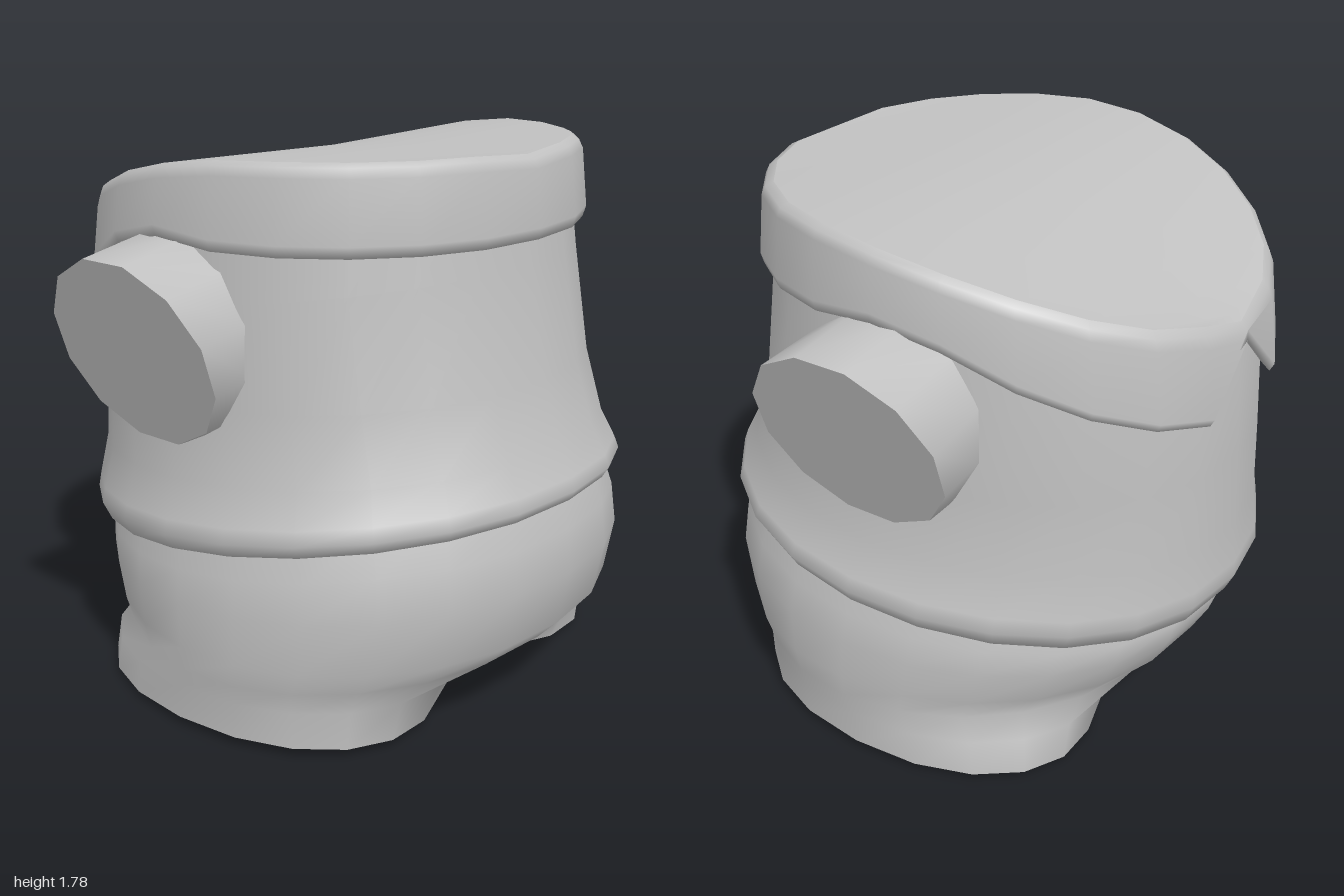
import * as THREE from 'three';
import { mergeGeometries, mergeVertices } from 'three/addons/utils/BufferGeometryUtils.js';

const N = 24; // sides of the body rings
const BACK = N / 2; // index of the back centre

const geo = (points, index) => {
  const g = new THREE.BufferGeometry();
  g.setAttribute('position', new THREE.Float32BufferAttribute(points.flat(), 3));
  g.setIndex(index);
  g.computeVertexNormals();
  return g;
};

// Skin closed rings, listed from the top (or outer end) downwards
function loft(rings) {
  const n = rings[0].length, index = [];
  for (let r = 0; r < rings.length - 1; r++) {
    for (let i = 0; i < n; i++) {
      const j = (i + 1) % n, a = r * n, b = a + n;
      index.push(b + i, b + j, a + j, b + i, a + j, a + i);
    }
  }
  return geo(rings.flat(), index);
}

// Flat fan over a ring
function fan(ring, flip) {
  const index = [];
  for (let i = 1; i < ring.length - 1; i++) index.push(0, ...(flip ? [i + 1, i] : [i, i + 1]));
  return geo(ring, index);
}

// Join pieces into one smooth surface
function weld(pieces) {
  pieces.forEach(p => p.deleteAttribute('normal'));
  const g = mergeVertices(mergeGeometries(pieces), 1e-4);
  g.computeVertexNormals();
  return g;
}

const mirror = ring => ring.map(([x, y, z]) => [-x, y, z]).reverse();
const squared = v => Math.sign(v) * Math.abs(v) ** 0.94;

// Slightly squared oval ring, fuller at the front;
// yAt gives the height from z, the front weight and the index
const oval = (halfWidth, front, back, yAt) => Array.from({ length: N }, (_, i) => {
  const t = i / N * Math.PI * 2, c = Math.cos(t);
  const z = (front + back) / 2 + (front - back) / 2 * c;
  const x = i % BACK ? halfWidth * squared(Math.sin(t)) * (1 + 0.05 * c) : 0;
  return [x, yAt(z, (1 + c) / 2, i), z];
});

// Ring tilted from a front height to a back height
const tilted = ([hw, front, back, yF, yB]) => oval(hw, front, back, (z, w) => yB + (yF - yB) * w);

export function createModel() {
  const group = new THREE.Group();
  const grey = new THREE.MeshStandardMaterial({ color: 0xc0c0c0 });
  grey.name = 'plain grey';
  const add = (name, geometry) => {
    const m = new THREE.Mesh(geometry, grey);
    m.name = name;
    group.add(m);
  };

  // Heights of the collar: a sloping rim, and a lower edge with a notch at the back
  const top = (z, i) => 1.79 - 0.255 * Math.max(0, 0.25 - z) ** 2
    - (i === 0 ? 0.012 : 0) - (i === BACK ? 0.04 : 0);
  const bottom = (z, i) => i === BACK ? 1.39
    : 1.53 + 0.025 * THREE.MathUtils.smoothstep(-z, -0.2, 0.1) - 0.54 * Math.max(0, -z - 0.2);

  // Shirt running up inside the collar, with a flared, tucked hem
  add('shirt', loft([
    oval(0.74, 0.675, -0.825, (z, w, i) => top(z, i) - 0.06),
    ...[
      [0.78, 0.71, -0.855, 1.45, 1.24],
      [0.785, 0.775, -0.87, 1.1, 1.0],
      [0.81, 0.84, -0.88, 0.9, 0.74],
      [0.86, 0.885, -0.895, 0.81, 0.6],
      [0.875, 0.9, -0.9, 0.77, 0.55],
      [0.85, 0.88, -0.87, 0.735, 0.485],
      [0.8, 0.83, -0.8, 0.745, 0.505],
    ].map(tilted),
  ]));

  // Collar with two points at the back
  const collarRing = (hw, front, back, yAt) => {
    const ring = oval(hw, front, back, yAt);
    ring[BACK][2] = Math.max(back, -0.865); // the notch lies close to the shirt
    return ring;
  };
  const rim = collarRing(0.745, 0.68, -0.84, top);
  rim.forEach((p, i) => { p[1] = top(p[2], i); });
  add('collar', loft([
    rim,
    collarRing(0.77, 0.705, -0.86, (z, w, i) => top(z, i) - 0.012),
    collarRing(0.78, 0.72, -0.875, (z, w, i) => top(z, i) - 0.04),
    collarRing(0.8, 0.74, -0.905, (z, w, i) => bottom(z, i) + 0.035),
    collarRing(0.79, 0.73, -0.89, (z, w, i) => bottom(z, i)),
    collarRing(0.745, 0.69, -0.835, (z, w, i) => bottom(z, i) + 0.025),
  ]));

  // Neck surface: rows from side to side, with a valley deepening to the back notch
  const valley = rim.slice(1, BACK).map(([, y, z]) => [0, y - 0.012 - 0.025 * ((0.68 - z) / 1.52) ** 2, z]);
  const spine = i => i === 0 ? 0 : i === BACK ? BACK : N + i - 1;
  const capIndex = [];
  for (let i = 0; i < BACK; i++) {
    const l = (N - i) % N, l2 = N - i - 1, m = spine(i), m2 = spine(i + 1);
    if (i < BACK - 1) capIndex.push(i, i + 1, m2, m, m2, l2);
    if (i === BACK - 1) capIndex.push(i, m2, m, m, m2, l);
    else if (i > 0) capIndex.push(i, m2, m, m, l2, l);
  }
  add('neckCap', geo([...rim, ...valley], capIndex));

  // Trousers above the legs
  const hips = [
    [0.815, 0.84, -0.81, 0.77, 0.53],
    [0.85, 0.885, -0.835, 0.64, 0.45],
    [0.87, 0.9, -0.82, 0.5, 0.38],
    [0.872, 0.86, -0.765, 0.31, 0.28],
    [0.868, 0.79, -0.69, 0.235, 0.2],
  ].map(tilted);

  // Legs grow out of half of the lowest hip ring and the crotch line
  const lowest = hips[hips.length - 1];
  const crotch = [[0, 0.11, -0.48], [0, 0.085, -0.28], [0, 0.08, 0], [0, 0.085, 0.3], [0, 0.13, 0.56]];
  const start = [...lowest.slice(0, BACK + 1), ...crotch];
  const foot = start.map((_, j) => {
    const a = (-30 + 20 * j) * Math.PI / 180;
    const x = 0.45 + 0.41 * squared(Math.sin(a)), z = 0.015 + 0.61 * squared(Math.cos(a));
    return [x, 0.027 * x + 0.02 * (z + 0.6) / 1.2, z];
  });
  const blend = (h, v) => start.map((p, j) =>
    p.map((c, k) => c + (foot[j][k] - c) * (k === 1 ? v : h)));
  const leg = [start, blend(0.74, 0.36), foot];
  add('trousers', weld([loft(hips), loft(leg), loft(leg.map(mirror))]));
  add('leftLegEnd', fan(foot, true));
  add('rightLegEnd', fan(mirror(foot), true));

  // Short sleeves with slanted flat ends
  const sleeveRing = (x, slant, y, z, ry, rz) => Array.from({ length: 12 }, (_, i) => {
    const a = (i + 0.5) / 12 * Math.PI * 2;
    return [x + slant * Math.sin(a), y + ry * Math.sin(a), z - rz * Math.cos(a)];
  });
  const end = sleeveRing(0.91, 0.093, 1.225, -0.07, 0.295, 0.335);
  const sleeve = [end, sleeveRing(0.7, 0, 1.245, -0.08, 0.33, 0.31)];
  add('leftSleeve', loft(sleeve));
  add('leftSleeveEnd', fan(end));
  add('rightSleeve', loft(sleeve.map(mirror)));
  add('rightSleeveEnd', fan(mirror(end)));

  return group;
}
